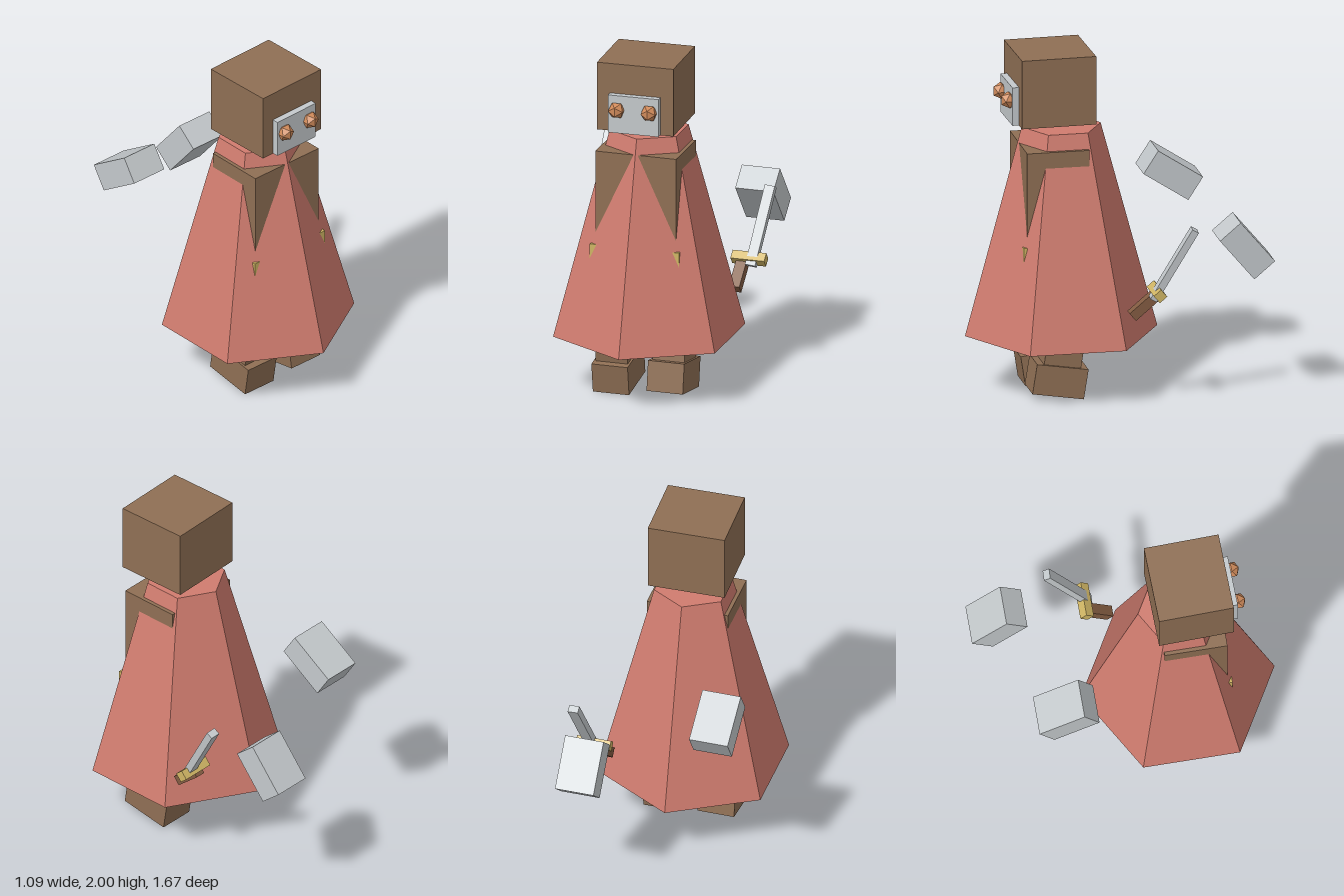
import * as THREE from 'three';

const rad = THREE.MathUtils.degToRad;
const YAW = -4.6; // the whole figure is turned slightly

function material(name, color) {
  const m = new THREE.MeshStandardMaterial({ color, flatShading: true });
  m.name = name;
  return m;
}

export function createModel() {
  const model = new THREE.Group();
  model.name = 'cloakedFigure';

  const skin = material('brown', 0x8f6f54);
  const cloth = material('salmonRed', 0xd07c6f);
  const metal = material('silver', 0xc4c9cc);
  const gold = material('gold', 0xd0b564);
  const copper = material('copper', 0xd08a5a);
  const wood = material('darkBrown', 0x835c42);

  function add(parent, name, geometry, mat, pos) {
    const mesh = new THREE.Mesh(geometry, mat);
    mesh.name = name;
    mesh.position.set(...pos);
    parent.add(mesh);
    return mesh;
  }
  const box = (parent, name, size, mat, pos) =>
    add(parent, name, new THREE.BoxGeometry(...size), mat, pos);
  // yaw first, then pitch, then roll, in degrees
  const turn = (object, yaw, pitch = 0, roll = 0) => {
    object.rotation.set(rad(pitch), rad(yaw), rad(roll), 'YXZ');
    return object;
  };
  function group(parent, name, pos) {
    const g = new THREE.Group();
    g.name = name;
    g.position.set(...pos);
    parent.add(g);
    return g;
  }

  // Six-sided closed cloak
  turn(add(model, 'cloak', new THREE.CylinderGeometry(0.228, 0.555, 1.212, 6),
    cloth, [-0.046, 0.939, 0.278]), YAW);

  // Head with face plate and faceted eyes
  const head = turn(group(model, 'head', [-0.049, 1.8, 0.342]), -3);
  box(head, 'skull', [0.45, 0.4, 0.43], skin, [0, 0, 0]);
  box(head, 'facePlate', [0.297, 0.223, 0.08], metal, [0, -0.087, 0.213]);
  for (const side of [-1, 1]) {
    add(head, 'eye', new THREE.IcosahedronGeometry(0.05, 0), copper,
      [side * 0.096, -0.06, 0.262]);
  }

  // Torso and belt, mostly under the cloak
  const body = turn(group(model, 'body', [-0.051, 0, 0.343]), YAW);
  box(body, 'torso', [0.48, 0.755, 0.36], skin, [0, 1.0775, 0]);
  box(body, 'belt', [0.53, 0.147, 0.41], gold, [0, 0.833, 0]);

  // Legs in mid stride: left toe up, right toe down
  for (const side of [-1, 1]) {
    const leg = group(body, side > 0 ? 'leftLeg' : 'rightLeg', [side * 0.164, 0.111, -0.006]);
    turn(leg, 0, side * -9);
    box(leg, 'foot', [0.215, 0.175, 0.3], skin, [0, 0, 0]);
    box(leg, 'shin', [0.19, 0.5, 0.215], skin, [0, 0.3, 0]);
  }

  // Floating gauntlets behind the cloak
  const gauntlet = [0.227, 0.156, 0.308];
  turn(box(model, 'rightGauntlet', gauntlet, metal, [-0.343, 1.135, -0.446]), YAW, -33);
  turn(box(model, 'leftGauntlet', gauntlet, metal, [0.388, 0.876, -0.669]), YAW, -50);

  // Sword
  const sword = group(model, 'sword', [0, 0, 0]);
  turn(box(sword, 'grip', [0.063, 0.18, 0.057], wood, [0.388, 0.573, -0.081]), YAW, -50);
  turn(box(sword, 'guard', [0.2, 0.055, 0.055], gold, [0.434, 0.661, -0.146]), YAW, -50);
  turn(box(sword, 'blade', [0.06, 0.47, 0.042], metal, [0.48, 0.828, -0.232]), YAW, -30, -5);

  return model;
}
